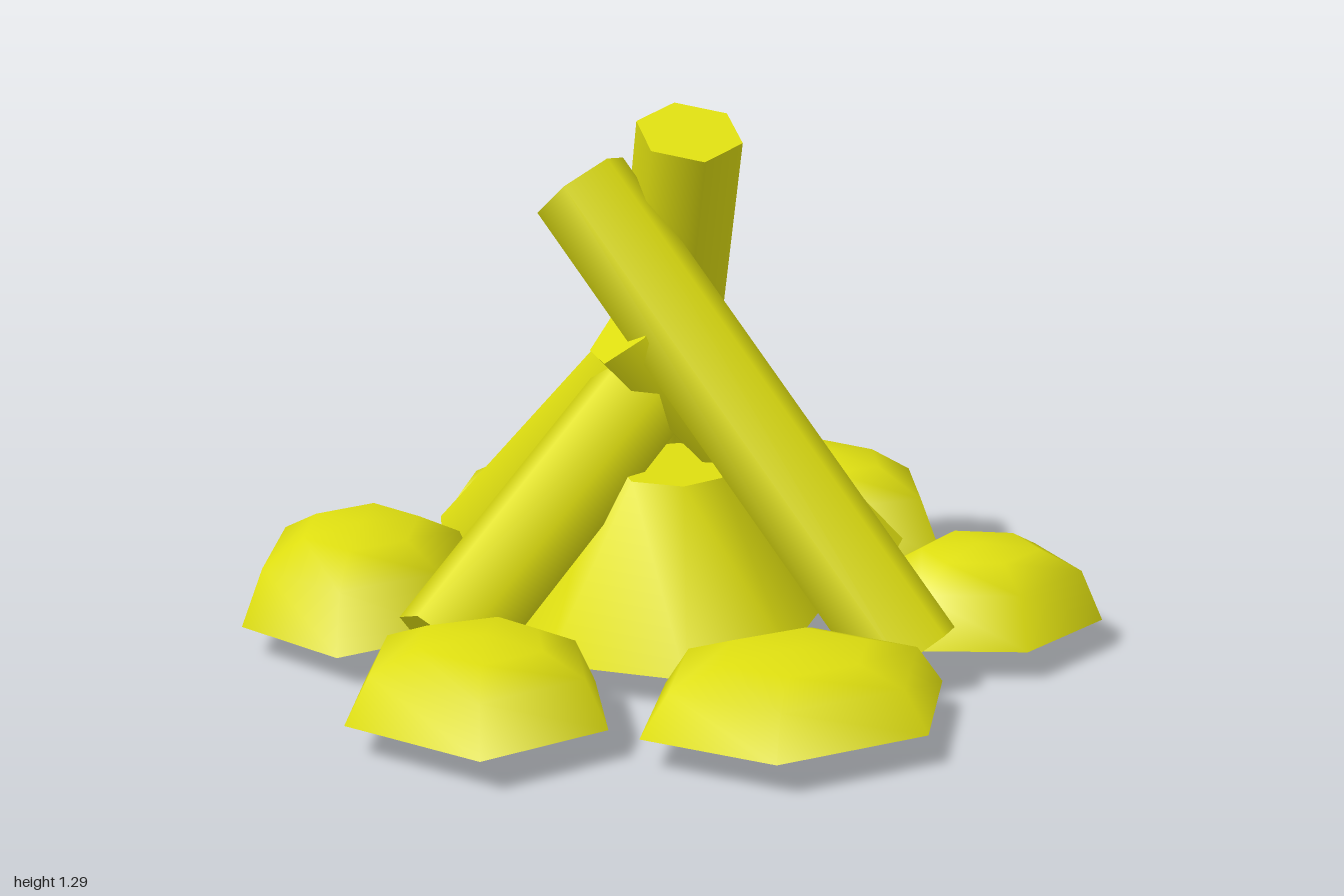
import * as THREE from 'three';

const yellow = new THREE.MeshStandardMaterial({ color: 0xdede10 });
yellow.name = 'yellow';

const BASE_Y = 0.085;

// Solid from a clockwise [x, z] outline, shrunk towards its centre along a
// profile of [scale, height] rings. Repeated rings make a sharp edge.
function mound(name, outline, profile) {
  const n = outline.length;
  const cx = outline.reduce((s, p) => s + p[0], 0) / n;
  const cz = outline.reduce((s, p) => s + p[1], 0) / n;
  const positions = [];
  const index = [];
  const rings = [[0, 0], [1, 0], ...profile];
  rings.forEach(([scale, height], r) => {
    outline.forEach(([x, z], i) => {
      positions.push(cx + (x - cx) * scale, BASE_Y + height, cz + (z - cz) * scale);
      if (r === 0) return;
      const j = (i + 1) % n;
      const a = (r - 1) * n + i, b = (r - 1) * n + j, c = r * n + i, d = r * n + j;
      const [s0, h0] = rings[r - 1];
      if (s0 === scale && h0 === height) return;
      if (s0 > 0) index.push(b, a, d);
      if (scale > 0) index.push(a, c, d);
      else index[index.length - 1] = c;
    });
  });
  const geometry = new THREE.BufferGeometry();
  geometry.setAttribute('position', new THREE.Float32BufferAttribute(positions, 3));
  geometry.setIndex(index);
  geometry.computeVertexNormals();
  // The peak shares one upright normal
  const normal = geometry.attributes.normal;
  for (let i = normal.count - n; i < normal.count; i++) normal.setXYZ(i, 0, 1, 0);
  const mesh = new THREE.Mesh(geometry, yellow);
  mesh.name = name;
  return mesh;
}

// Six-sided log between the centres of its two ends
function log(name, bottom, top, radius, spin = 0) {
  const a = new THREE.Vector3(...bottom);
  const b = new THREE.Vector3(...top);
  const axis = b.clone().sub(a);
  const geometry = new THREE.CylinderGeometry(radius, radius, axis.length(), 6, 1);
  geometry.rotateY(spin);
  const mesh = new THREE.Mesh(geometry, yellow);
  mesh.position.copy(a).add(b).multiplyScalar(0.5);
  mesh.quaternion.setFromUnitVectors(new THREE.Vector3(0, 1, 0), axis.normalize());
  mesh.name = name;
  return mesh;
}

export function createModel() {
  const model = new THREE.Group();
  model.name = 'campfire';

  // Ring of rounded six-sided stones: outline and height
  const stones = [
    ['backStone', 0.17, [[-0.4, -0.7], [-0.29, -0.93], [0, -0.97], [0.18, -0.81], [0.1, -0.6], [-0.14, -0.55]]],
    ['backLeftStone', 0.225, [[0.26, -0.5], [0.32, -0.76], [0.64, -0.78], [0.88, -0.48], [0.8, -0.17], [0.52, -0.16]]],
    ['leftStone', 0.19, [[0.7, 0.03 - 0.06], [0.97, 0.09], [1, 0.36], [0.74, 0.51], [0.47, 0.42], [0.44, 0.17]]],
    ['frontStone', 0.145, [[-0.13, 0.45], [0.25, 0.39], [0.48, 0.62], [0.33, 0.91], [-0.04, 0.97], [-0.28, 0.75]]],
    ['frontRightStone', 0.165, [[-0.77, 0.2], [-0.42, 0.18], [-0.28, 0.39], [-0.33, 0.68], [-0.64, 0.77], [-0.88, 0.49]]],
    ['backRightStone', 0.21, [[-0.87, -0.55], [-0.55, -0.64], [-0.37, -0.36], [-0.51, 0], [-0.82, 0.08], [-1, -0.19]]],
  ];
  for (const [name, h, outline] of stones) {
    model.add(mound(name, outline, [[1, 0], [0.82, h * 0.65], [0.48, h * 0.93], [0, h]]));
  }

  // Ash heap in the middle, with a flat top
  const heap = [[-0.36, 0.26], [-0.33, -0.44], [0.17, -0.44], [0.33, -0.2], [0.37, 0.1], [0.2, 0.35], [-0.08, 0.45]];
  model.add(mound('ashHeap', heap, [[1, 0], [0.38, 0.375], [0.38, 0.375], [0, 0.375]]));

  // Leaning logs
  model.add(
    log('frontLog', [0.47, 0.085, 0.46], [-0.155, 1.12, -0.17], 0.125, Math.PI / 6),
    log('backLog', [0.125, 0.115, -0.555], [0.09, 1.25, -0.085], 0.13),
    log('backRightLog', [-0.33, 0.1, -0.56], [0, 0.68, -0.12], 0.125),
    log('leftLog', [0.54, 0.14, -0.06], [-0.07, 0.8, -0.05], 0.125),
    log('rightLog', [-0.59, 0.125, 0.18], [0, 0.64, -0.1], 0.125),
  );
  return model;
}
